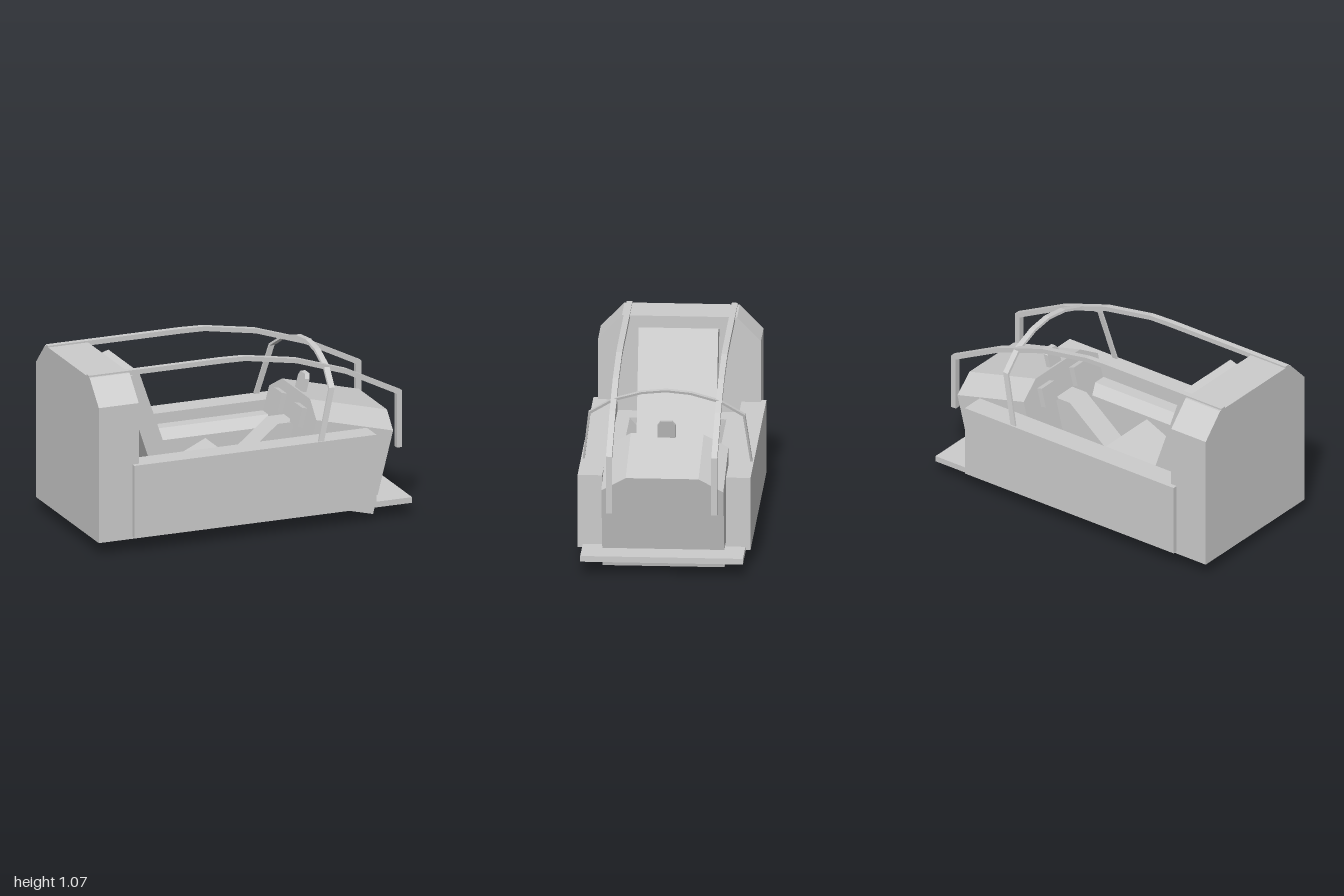
import * as THREE from 'three';

const material = new THREE.MeshStandardMaterial({ color: 0xcccccc, flatShading: true });

function addMesh(parent, name, geometry) {
  const mesh = new THREE.Mesh(geometry, material);
  mesh.name = name;
  parent.add(mesh);
  return mesh;
}

// Box given by its min and max corners
function box(parent, name, [x0, y0, z0], [x1, y1, z1]) {
  const mesh = addMesh(parent, name, new THREE.BoxGeometry(x1 - x0, y1 - y0, z1 - z0));
  mesh.position.set((x0 + x1) / 2, (y0 + y1) / 2, (z0 + z1) / 2);
  return mesh;
}

function extrude(points, depth) {
  const shape = new THREE.Shape(points.map(([a, b]) => new THREE.Vector2(a, b)));
  return new THREE.ExtrudeGeometry(shape, { depth, bevelEnabled: false });
}

// Side profile (x, y) extruded from z0 to z1
const sideProfile = (points, z0, z1) => extrude(points, z1 - z0).translate(0, 0, z0);

// Cross-section (z, y) extruded from x0 to x1
const crossProfile = (points, x0, x1) =>
  extrude(points.map(([z, y]) => [-z, y]), x1 - x0).rotateY(Math.PI / 2).translate(x0, 0, 0);

// Completes a half outline (z > 0) by mirroring it
const mirrored = (half) => [...half, ...half.map(([z, y]) => [-z, y]).reverse()];

export function createModel() {
  const group = new THREE.Group();

  // Floor and chamfered rear bulkhead
  box(group, 'floor', [-1, 0.085, -0.48], [1, 0.12, 0.48]);
  addMesh(group, 'rearBulkhead',
    crossProfile(mirrored([[0.48, 0.085], [0.48, 0.92], [0.34, 1.065]]), -1, -0.745));

  // Reclined seat back and tilted cushion
  addMesh(group, 'seatBack',
    sideProfile([[-0.745, 0.99], [-0.64, 1.025], [-0.37, 0.24], [-0.37, 0.12], [-0.46, 0.12]], -0.235, 0.235));
  addMesh(group, 'seatCushion',
    sideProfile([[-0.39, 0.23], [-0.02, 0.4], [0.015, 0.32], [0.015, 0.12], [-0.39, 0.12]], -0.235, 0.235));

  // Side pods, inner armrests and roof rails on both sides
  const railOuter = [[-1, 1.075], [-0.15, 1.075], [0, 1.07], [0.33, 1.015], [0.65, 0.91], [1, 0.735], [1, 0.385]];
  const railInner = [[0.966, 0.385], [0.966, 0.718], [0.64, 0.882], [0.325, 0.987], [0, 1.042], [-0.15, 1.045], [-1, 1.045]];
  for (const s of [1, -1]) {
    const side = s > 0 ? 'front' : 'back';
    const span = (a, b) => (s > 0 ? [a, b] : [-b, -a]);
    const [p0, p1] = span(0.365, 0.51);
    box(group, side + 'SidePod', [-0.785, 0.1, p0], [0.76, 0.545, p1]);
    const armrest = [[0.235, 0.12], [0.235, 0.42], [0.285, 0.48], [0.37, 0.48], [0.37, 0.12]];
    addMesh(group, side + 'Armrest', crossProfile(armrest.map(([z, y]) => [s * z, y]), -0.6, 0.42));
    const [a0, a1] = span(0.235, 0.37);
    box(group, side + 'ArmrestEnd', [-0.745, 0.12, a0], [-0.6, 0.48, a1]);
    addMesh(group, side + 'RoofRail', sideProfile([...railOuter, ...railInner], ...span(0.293, 0.328)));
  }

  // Tilted instrument nose with chamfered top edges
  const nose = new THREE.Group();
  nose.name = 'instrumentNose';
  nose.position.set(0.46, 0.715, 0);
  nose.rotation.z = -0.25;
  addMesh(nose, 'noseBody',
    crossProfile(mirrored([[0.36, -0.604], [0.36, -0.087], [0.215, 0]]), 0, 0.506));
  for (const z of [-0.16, 0.15]) {
    box(nose, 'displayBox', [-0.035, -0.18, z - 0.06], [0.01, -0.06, z + 0.06]);
  }
  group.add(nose);

  // Central control column
  addMesh(group, 'controlColumn',
    sideProfile([[0.05, 0.12], [0.05, 0.33], [0.31, 0.54], [0.43, 0.54], [0.43, 0.12]], -0.08, 0.08));

  // Leaning hoop and small sight plate, sheared forward with height
  const lean = (geometry, x) => geometry.translate(0, -0.545, 0)
    .applyMatrix4(new THREE.Matrix4().makeShear(0, 0, 0.27, 0, 0, 0))
    .translate(x, 0.545, 0);
  const hoopOuter = [[0.502, 0.53], [0.462, 0.855], [0.32, 0.945], [0.145, 0.998], [0, 1.013]];
  const hoopInner = [[0, 0.999], [0.142, 0.984], [0.315, 0.932], [0.45, 0.845], [0.49, 0.53]];
  const flip = (points) => points.map(([z, y]) => [-z, y]).reverse();
  const hoop = [...hoopOuter, ...flip(hoopOuter).slice(1), ...flip(hoopInner), ...hoopInner.slice(1)];
  addMesh(group, 'windshieldHoop', lean(crossProfile(hoop, 0, 0.035), 0.395));
  addMesh(group, 'sightPlate',
    lean(crossProfile(mirrored([[0.053, 0.68], [0.053, 0.785], [0.033, 0.812]]), 0, 0.03), 0.43));

  return group;
}
